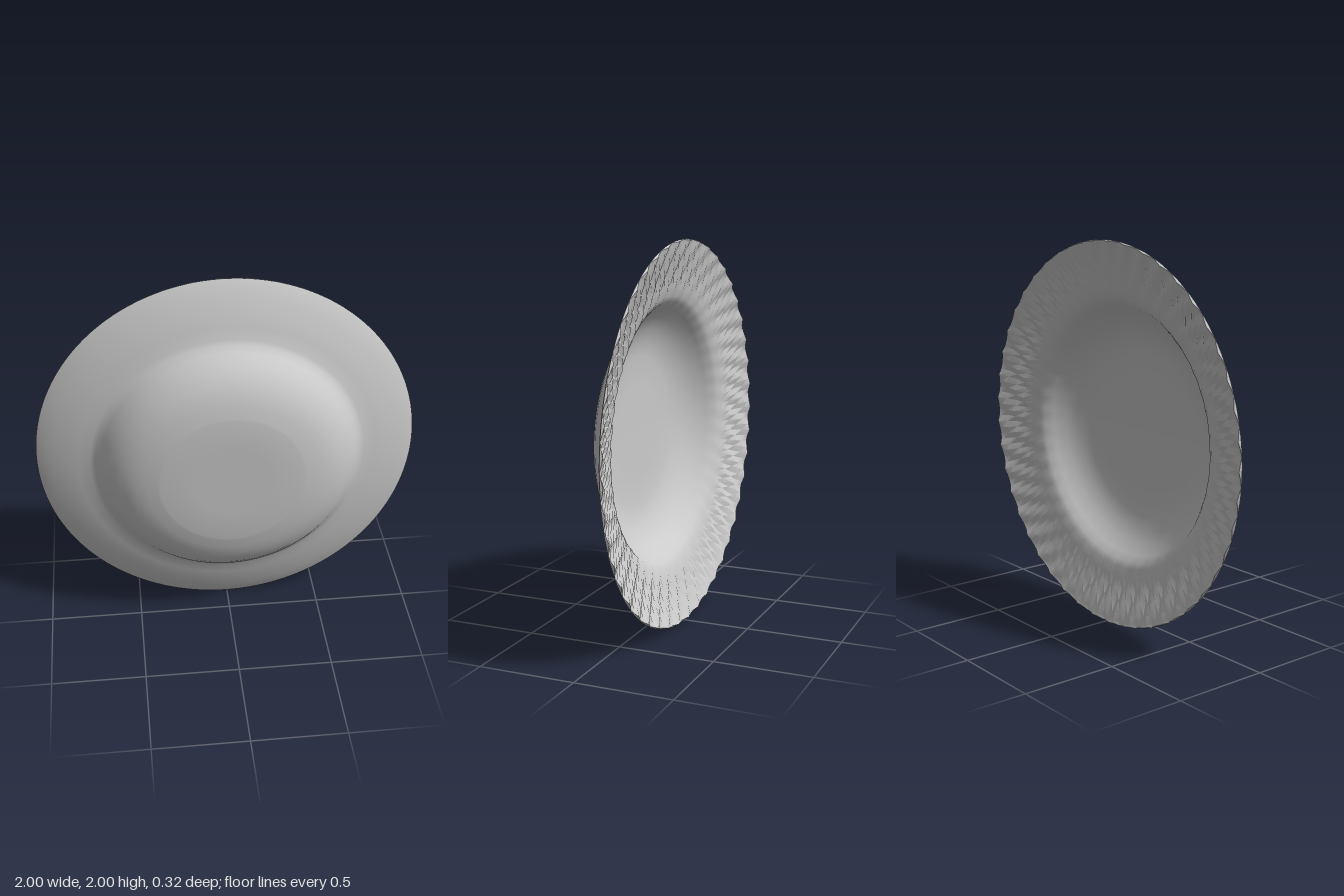
import * as THREE from 'three';
import { toCreasedNormals } from 'three/addons/utils/BufferGeometryUtils.js';

const FLUTES = 45;
const SEGMENTS = FLUTES * 4;

// Hollow of the plate, from the floor centre out to the rim: [radius, depth]
const inside = [
  [0, 0.125], [0.25, 0.125], [0.4, 0.122], [0.47, 0.108], [0.54, 0.08], [0.6, 0.04],
  [0.65, -0.01], [0.68, -0.045], [0.71, -0.062], [0.76, -0.076], [0.82, -0.092],
  [0.88, -0.11], [0.94, -0.13], [0.98, -0.144], [0.995, -0.149],
];
// Underside, from the rim back to the centre of the base
const outside = [
  [1, -0.143], [0.985, -0.133], [0.92, -0.104], [0.85, -0.077], [0.78, -0.055], [0.72, -0.04],
  [0.695, -0.028], [0.67, 0.003], [0.64, 0.04], [0.6, 0.077], [0.55, 0.108], [0.5, 0.13],
  [0.44, 0.147], [0.385, 0.157], [0.37, 0.16], [0.2, 0.16], [0, 0.16],
];

// Swirled ripples pressed into the hollow side of the rim
function addFlutes(geometry) {
  const p = geometry.attributes.position;
  const rows = inside.length + outside.length;
  for (let i = 0; i < p.count; i++) {
    if (i % rows >= inside.length) continue;
    const x = p.getX(i), z = p.getZ(i);
    const r = Math.hypot(x, z);
    const strength = THREE.MathUtils.smoothstep(r, 0.62, 0.85);
    const angle = Math.atan2(x, z) + 0.6 * (1 - r);
    p.setY(i, p.getY(i) + 0.009 * strength * Math.sin(FLUTES * angle));
  }
}

export function createModel() {
  const group = new THREE.Group();
  group.name = 'soupPlate';

  const profile = [...inside, ...outside].map(([r, d]) => new THREE.Vector2(r, d));
  const geometry = new THREE.LatheGeometry(profile, SEGMENTS);
  addFlutes(geometry);
  // Stand the plate on its edge with the base facing forward
  geometry.rotateX(Math.PI / 2);
  geometry.translate(0, 1, 0);

  const plate = new THREE.Mesh(
    toCreasedNormals(geometry, THREE.MathUtils.degToRad(28)),
    new THREE.MeshStandardMaterial({ color: 0xcccccc })
  );
  plate.name = 'plate';
  group.add(plate);
  return group;
}
